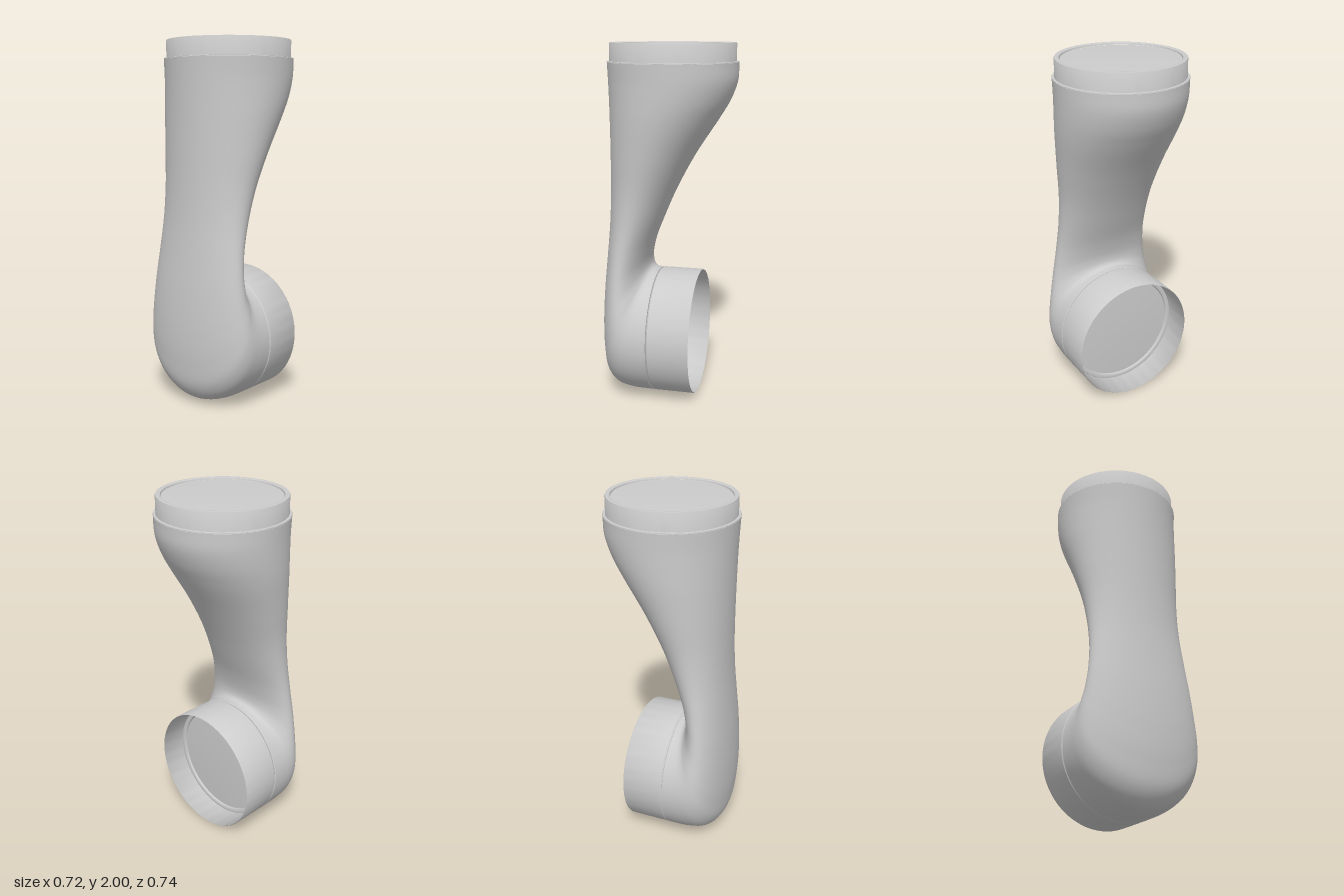
import * as THREE from 'three';
import { toCreasedNormals } from 'three/addons/utils/BufferGeometryUtils.js';

const grey = new THREE.MeshStandardMaterial({ color: 0xcccccc });
const greyDouble = new THREE.MeshStandardMaterial({ color: 0xcccccc, side: THREE.DoubleSide });

function addMesh(group, name, geometry, material = grey) {
  const mesh = new THREE.Mesh(geometry, material);
  mesh.name = name;
  group.add(mesh);
  return mesh;
}

// Section stations: half width, front point (y, z), back point (y, z).
// The sections start level at the top and swing upright around the inner elbow.
const stations = [
  [0.358, 1.9, 0.348, 1.9, -0.368],
  [0.355, 1.8, 0.343, 1.8, -0.363],
  [0.351, 1.7, 0.339, 1.7, -0.327],
  [0.343, 1.6, 0.336, 1.6, -0.268],
  [0.316, 1.4, 0.333, 1.4, -0.138],
  [0.290, 1.2, 0.333, 1.2, -0.03],
  [0.283, 1.02, 0.338, 1.03, 0.045],
  [0.290, 0.84, 0.35, 0.89, 0.1],
  [0.307, 0.63, 0.366, 0.79, 0.124],
  [0.326, 0.42, 0.374, 0.749, 0.123],
  [0.343, 0.25, 0.368, 0.735, 0.117],
  [0.354, 0.11, 0.345, 0.728, 0.11],
  [0.359, 0.035, 0.29, 0.723, 0.1],
  [0.36, 0.006, 0.2, 0.721, 0.088],
  [0.36, 0, 0.07, 0.72, 0.07],
];

// Smooth elbow body lofted through the stations
function bodyGeometry(rows = 112, sides = 72) {
  const front = new THREE.CatmullRomCurve3(stations.map(([w, y, z]) => new THREE.Vector3(w, y, z)));
  const back = new THREE.CatmullRomCurve3(stations.map(([, , , y, z]) => new THREE.Vector3(0, y, z)));
  const positions = [], index = [];
  for (let i = 0; i <= rows; i++) {
    const f = front.getPoint(i / rows), b = back.getPoint(i / rows);
    for (let j = 0; j < sides; j++) {
      const a = (j / sides) * Math.PI * 2;
      const s = (1 + Math.sin(a)) / 2;
      positions.push(f.x * Math.cos(a), b.y + (f.y - b.y) * s, b.z + (f.z - b.z) * s);
      if (i === rows) continue;
      const k = (j + 1) % sides;
      const p = i * sides + j, q = i * sides + k;
      index.push(p, q, p + sides, q, q + sides, p + sides);
    }
  }
  const geometry = new THREE.BufferGeometry();
  geometry.setAttribute('position', new THREE.Float32BufferAttribute(positions, 3));
  geometry.setIndex(index);
  geometry.computeVertexNormals();
  return geometry;
}

function lathe(profile, sides = 64) {
  const points = profile.map(([r, y]) => new THREE.Vector2(r, y));
  return toCreasedNormals(new THREE.LatheGeometry(points, sides), 0.6);
}

// Plug with a rounded rim and a shallow, slightly domed end plate
function connector(name) {
  const group = new THREE.Group();
  group.name = name;
  addMesh(group, 'collar', lathe([
    [0.359, -0.004], [0.356, 0.001], [0.345, 0.002], [0.344, 0.006], [0.344, 0.095],
    [0.342, 0.099], [0.337, 0.1], [0.325, 0.1], [0.318, 0.097], [0.315, 0.088],
  ]));
  addMesh(group, 'endPlate', lathe([[0.316, 0.087], [0.2, 0.092], [0.1, 0.094], [0, 0.095]]));
  return group;
}

export function createModel() {
  const model = new THREE.Group();
  model.name = 'elbowLink';

  addMesh(model, 'elbowBody', bodyGeometry());

  const top = connector('topConnector');
  top.position.set(0, 1.9, -0.01);
  model.add(top);

  const lower = connector('lowerConnector');
  lower.position.set(0, 0.36, 0.07);
  lower.rotation.x = -Math.PI / 2;
  model.add(lower);

  // Thin open sleeve around the lower connector, with a seam at the body
  const sleeve = addMesh(model, 'sleeve', lathe([
    [0.345, 0.002], [0.354, 0.004], [0.36, 0.012], [0.36, 0.235], [0.357, 0.24],
  ]), greyDouble);
  sleeve.position.copy(lower.position);
  sleeve.rotation.copy(lower.rotation);

  return model;
}
